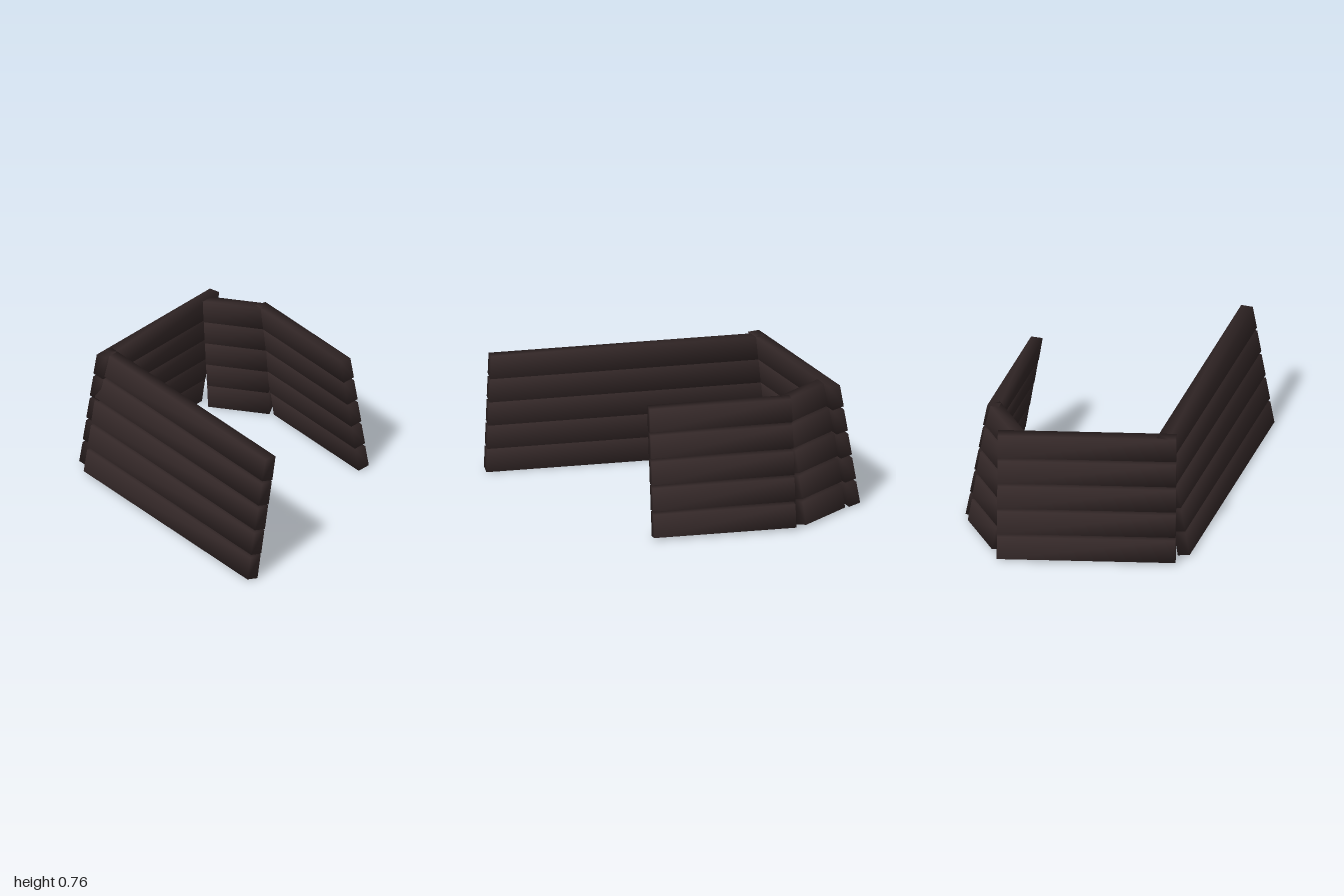
import * as THREE from 'three';

const BOARDS = 5, PITCH = 0.153, STEP_IN = 0.0265;

// Board cross-section as [inward, up]: outer bottom, inner bottom, inner top, outer top
const SECTION = [[0, 0.014], [0.072, 0], [0.095, 0.148], [0.025, 0.147]];

// One leaning plank along x, outer side towards -z, with shared soft corners
function boardGeometry(length) {
  const positions = [], index = [];
  for (const x of [-length / 2, length / 2]) {
    for (const [z, y] of SECTION) positions.push(x, y, z);
  }
  for (let i = 0; i < 4; i++) {
    const j = (i + 1) % 4;
    index.push(i, i + 4, j + 4, i, j + 4, j);
  }
  index.push(0, 1, 2, 0, 2, 3, 4, 6, 5, 4, 7, 6);
  const g = new THREE.BufferGeometry();
  g.setAttribute('position', new THREE.Float32BufferAttribute(positions, 3));
  // Make sure the faces point outwards
  const [a, b, c] = [0, 1, 2].map((k) =>
    new THREE.Vector3().fromArray(positions, index[k] * 3));
  const normal = b.clone().sub(a).cross(c.clone().sub(a));
  const centre = new THREE.Vector3(0, 0.075, 0.048);
  if (normal.dot(a.clone().sub(centre)) < 0) {
    for (let k = 0; k < index.length; k += 3) {
      [index[k + 1], index[k + 2]] = [index[k + 2], index[k + 1]];
    }
  }
  g.setIndex(index);
  g.computeVertexNormals();
  return g;
}

export function createModel() {
  const model = new THREE.Group();
  model.name = 'plankEnclosure';
  const darkWood = new THREE.MeshStandardMaterial({ color: 0x342828 });
  darkWood.name = 'darkWood';

  // name, middle of the outer bottom edge (x, z), length, turn in degrees
  const walls = [
    ['rightLongWall', -0.69, 0.19, 1.62, 90],
    ['backWall', -0.14, -0.868, 1.034, 15],
    ['cornerWall', 0.538, -0.76, 0.366, -50],
    ['leftShortWall', 0.69, -0.135, 0.84, -90],
  ];

  for (const [name, x, z, length, degrees] of walls) {
    const wall = new THREE.Group();
    wall.name = name;
    wall.position.set(x, 0, z);
    wall.rotation.y = THREE.MathUtils.degToRad(degrees);
    const geometry = boardGeometry(length);
    // Each plank sits a little further in than the one below
    for (let i = 0; i < BOARDS; i++) {
      const board = new THREE.Mesh(geometry, darkWood);
      board.name = `${name}Board${i + 1}`;
      board.position.set(0, i * PITCH, i * STEP_IN);
      wall.add(board);
    }
    model.add(wall);
  }
  return model;
}
